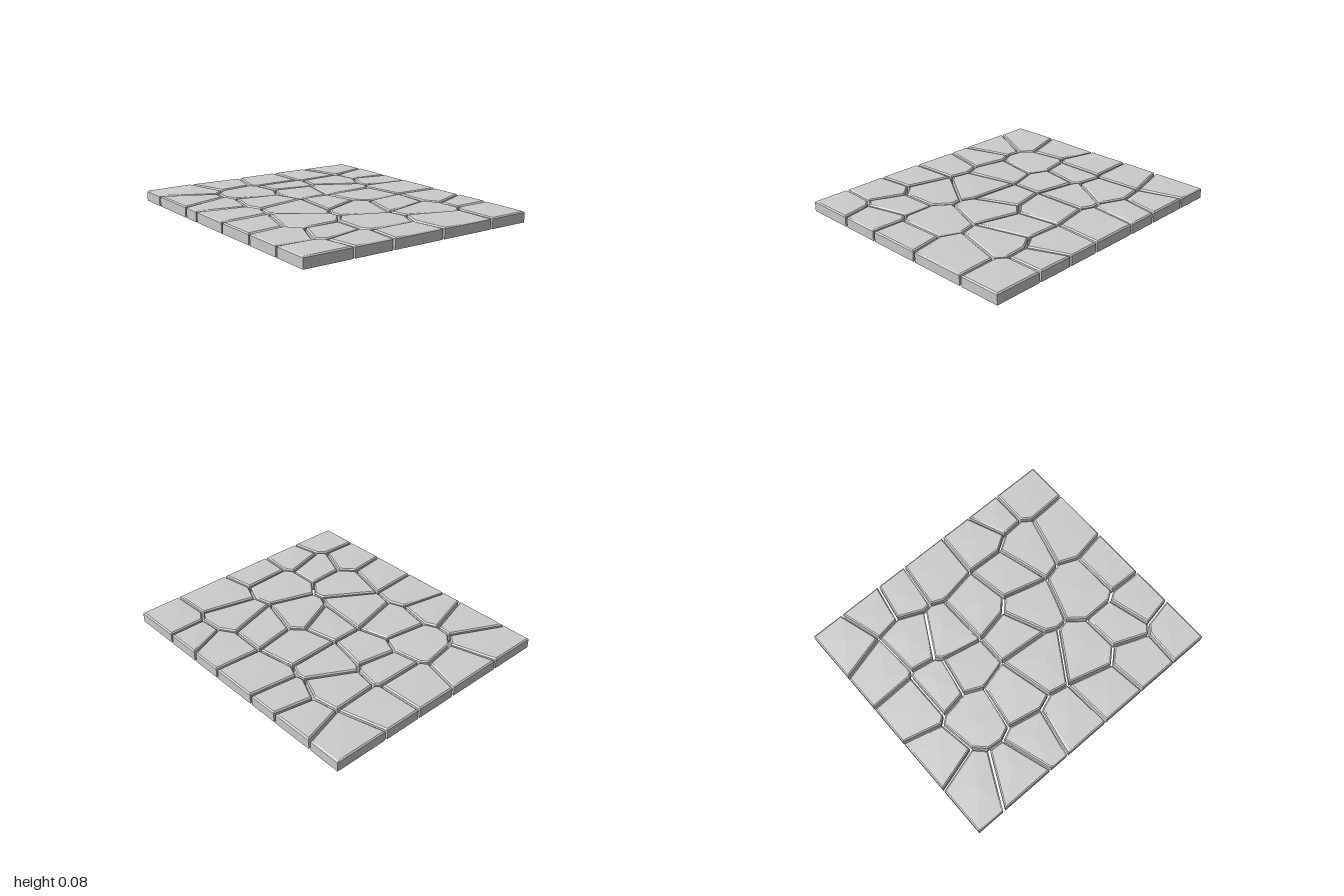
import * as THREE from 'three';

const HALF_X = 0.87, HALF_Z = 1;
const GAP = 0.008, BEVEL = 0.009;      // half joint width, chamfer width
const WALL_Y = 0.067, TOP_Y = 0.075;   // chamfer start, chamfer end

// Jittered lattice of joint crossings, in hundredths. A crossing is one point
// [x, z], or is split into an upper and a lower one [x, z, x, z].
const lattice = [
  [[-87, -100], [-52, -100], [-11, -100], [20, -100], [48, -100], [87, -100]],
  [[-87, -79], [-43, -69, -51, -61], [-18, -73, -14, -68], [21, -68, 24, -65], [57, -67], [87, -76]],
  [[-87, -39], [-52, -50, -48, -41], [-11, -49, -17, -36], [21, -48, 17, -44], [60, -49, 52, -31], [87, -44]],
  [[-87, -24], [-53, -17, -49, -6], [-11, -15], [11, -15], [53, -25, 49, -16], [87, -21]],
  [[-87, 10], [-52, 8], [-14, 22, -18, 30], [16, 9, 24, 17], [54, 12], [87, 14]],
  [[-87, 43], [-61, 40, -52, 50], [-17, 38, -26, 49], [15, 49], [53, 38, 60, 49], [87, 38]],
  [[-87, 73], [-62, 74, -56, 79], [-26, 71, -22, 77], [18, 62, 12, 76], [61, 65, 56, 72], [87, 65]],
  [[-87, 100], [-52, 100], [-23, 100], [16, 100], [57, 100], [87, 100]],
];

// Points a stone takes from a crossing; k: 0 back left, 1 back right, 2 front right, 3 front left
function cornerPoints([x, z, x2, z2], k) {
  const p = new THREE.Vector2(x, z).divideScalar(100);
  if (x2 === undefined) return [p];
  const q = new THREE.Vector2(x2, z2).divideScalar(100);
  return x2 > x ? [[q], [p, q], [p], [q, p]][k] : [[q, p], [q], [p, q], [p]][k];
}

// Stone outline, running clockwise seen from above
function outline(row, col) {
  return [[row, col], [row, col + 1], [row + 1, col + 1], [row + 1, col]]
    .flatMap(([r, c], k) => cornerPoints(lattice[r][c], k));
}

const onBorder = (a, b) =>
  (a.x === b.x && Math.abs(a.x) === HALF_X) || (a.y === b.y && Math.abs(a.y) === HALF_Z);

// Move every edge inward and intersect neighbouring edges again
function inset(poly, amount) {
  const lines = poly.map((a, i) => {
    const b = poly[(i + 1) % poly.length];
    const dir = b.clone().sub(a).normalize();
    const n = new THREE.Vector2(-dir.y, dir.x);
    return { n, c: n.dot(a) + amount(a, b) };
  });
  return lines.map((l, i) => {
    const m = lines[(i + lines.length - 1) % lines.length];
    const det = m.n.cross(l.n);
    return new THREE.Vector2((m.c * l.n.y - l.c * m.n.y) / det, (m.n.x * l.c - l.n.x * m.c) / det);
  });
}

// Small repeatable variation in -1..1
const vary = (n) => {
  const s = Math.sin(n * 12.9898) * 43758.5453;
  return (s - Math.floor(s)) * 2 - 1;
};

// Hollow stone, open below: wall, chamfer and slightly domed, tilted top
function stoneGeometry(poly, seed) {
  const foot = inset(poly, (a, b) => (onBorder(a, b) ? 0 : GAP));
  const rim = inset(foot, () => BEVEL);
  const n = foot.length;
  const centre = rim.reduce((s, p) => s.add(p), new THREE.Vector2()).divideScalar(n);
  const tilt = (p) => 0.012 * (vary(seed) * (p.x - centre.x) + vary(seed + 50) * (p.y - centre.y));

  const positions = [];
  const addRing = (ring, height) => ring.forEach((p) => positions.push(p.x, height(p), p.y));
  addRing(foot, () => 0);
  addRing(foot, () => WALL_Y);
  addRing(rim, (p) => TOP_Y + tilt(p));
  addRing([centre], () => TOP_Y + 0.003 + 0.001 * vary(seed + 100));

  const index = [];
  for (let i = 0; i < n; i++) {
    const j = (i + 1) % n;
    for (const base of [0, n]) {
      index.push(base + i, base + n + i, base + n + j, base + i, base + n + j, base + j);
    }
    index.push(3 * n, 2 * n + j, 2 * n + i);
  }
  const geometry = new THREE.BufferGeometry();
  geometry.setAttribute('position', new THREE.Float32BufferAttribute(positions, 3));
  geometry.setIndex(index);
  const flat = geometry.toNonIndexed();
  flat.computeVertexNormals();
  return flat;
}

export function createModel() {
  const group = new THREE.Group();
  group.name = 'stonePaving';
  const material = new THREE.MeshStandardMaterial({
    color: 0xcccccc, flatShading: true, side: THREE.DoubleSide,
  });
  for (let row = 0; row < 7; row++) {
    for (let col = 0; col < 5; col++) {
      const stone = new THREE.Mesh(stoneGeometry(outline(row, col), row * 5 + col + 1), material);
      stone.name = `pavingStoneRow${row + 1}Column${col + 1}`;
      group.add(stone);
    }
  }
  return group;
}
